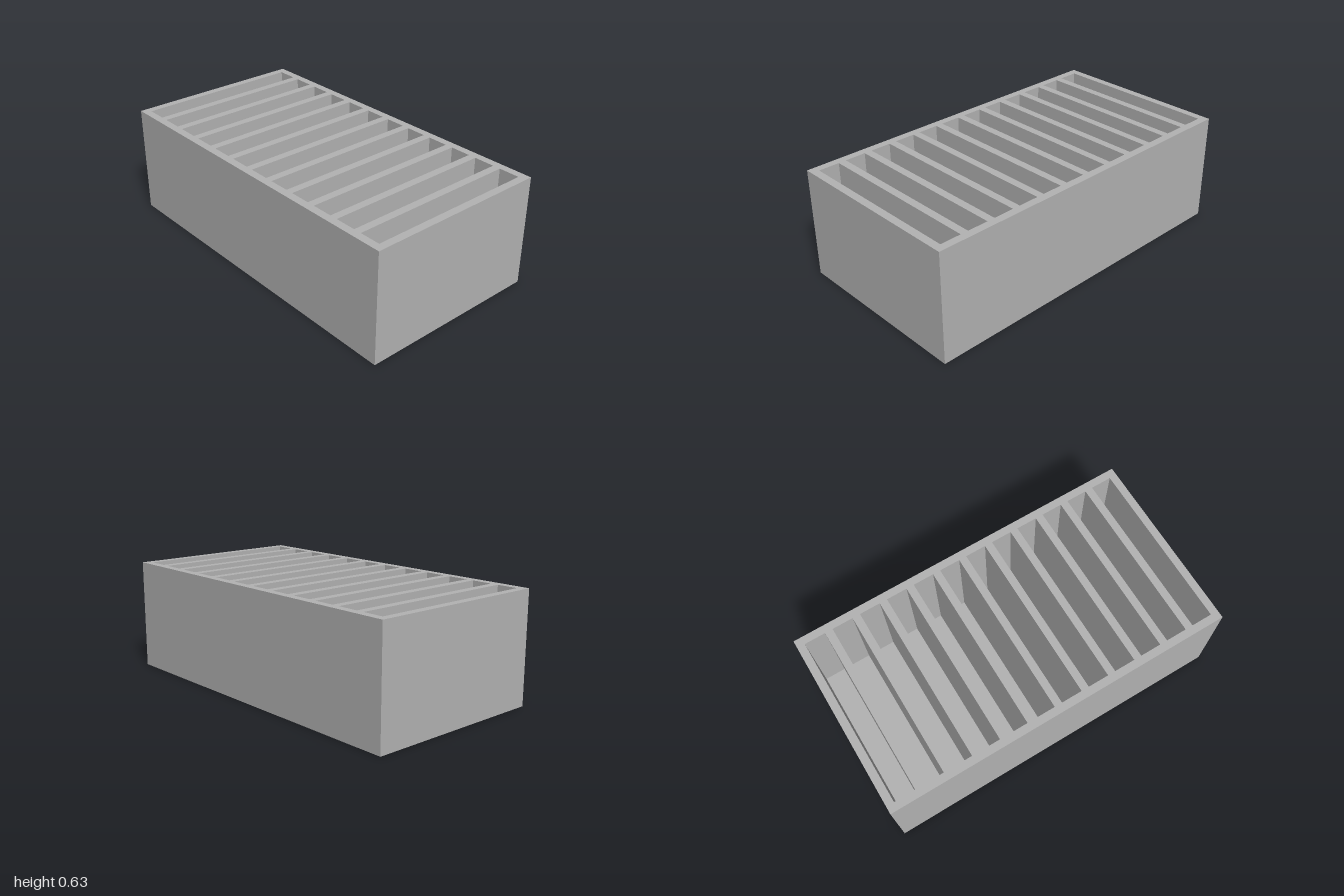
import * as THREE from 'three';

const WIDTH = 2, DEPTH = 1.056, HEIGHT = 0.63;
const WALL = 0.044, FLOOR = 0.044;
const SLOTS = 12, SLOT_WIDTH = 0.119;

// Trace a rectangle centred on (cx, 0)
function rectangle(path, cx, w, d) {
  path.moveTo(cx - w / 2, -d / 2);
  path.lineTo(cx + w / 2, -d / 2);
  path.lineTo(cx + w / 2, d / 2);
  path.lineTo(cx - w / 2, d / 2);
  path.closePath();
  return path;
}

export function createModel() {
  const model = new THREE.Group();
  model.name = 'slottedTray';
  const grey = new THREE.MeshStandardMaterial({ color: 0xb2b2b2 });
  grey.name = 'grey';

  // Outer walls and dividers: one block with a row of evenly spaced slots
  const outline = rectangle(new THREE.Shape(), 0, WIDTH, DEPTH);
  const first = -WIDTH / 2 + WALL + SLOT_WIDTH / 2;
  const pitch = (-2 * first) / (SLOTS - 1);
  for (let i = 0; i < SLOTS; i++) {
    outline.holes.push(rectangle(new THREE.Path(), first + i * pitch, SLOT_WIDTH, DEPTH - 2 * WALL));
  }
  const wallGeometry = new THREE.ExtrudeGeometry(outline, { depth: HEIGHT - FLOOR, bevelEnabled: false });
  wallGeometry.rotateX(-Math.PI / 2);
  const walls = new THREE.Mesh(wallGeometry, grey);
  walls.name = 'wallsAndDividers';
  walls.position.y = FLOOR;
  model.add(walls);

  // Closed floor under the slots
  const floor = new THREE.Mesh(new THREE.BoxGeometry(WIDTH, FLOOR, DEPTH), grey);
  floor.name = 'floor';
  floor.position.y = FLOOR / 2;
  model.add(floor);

  return model;
}
